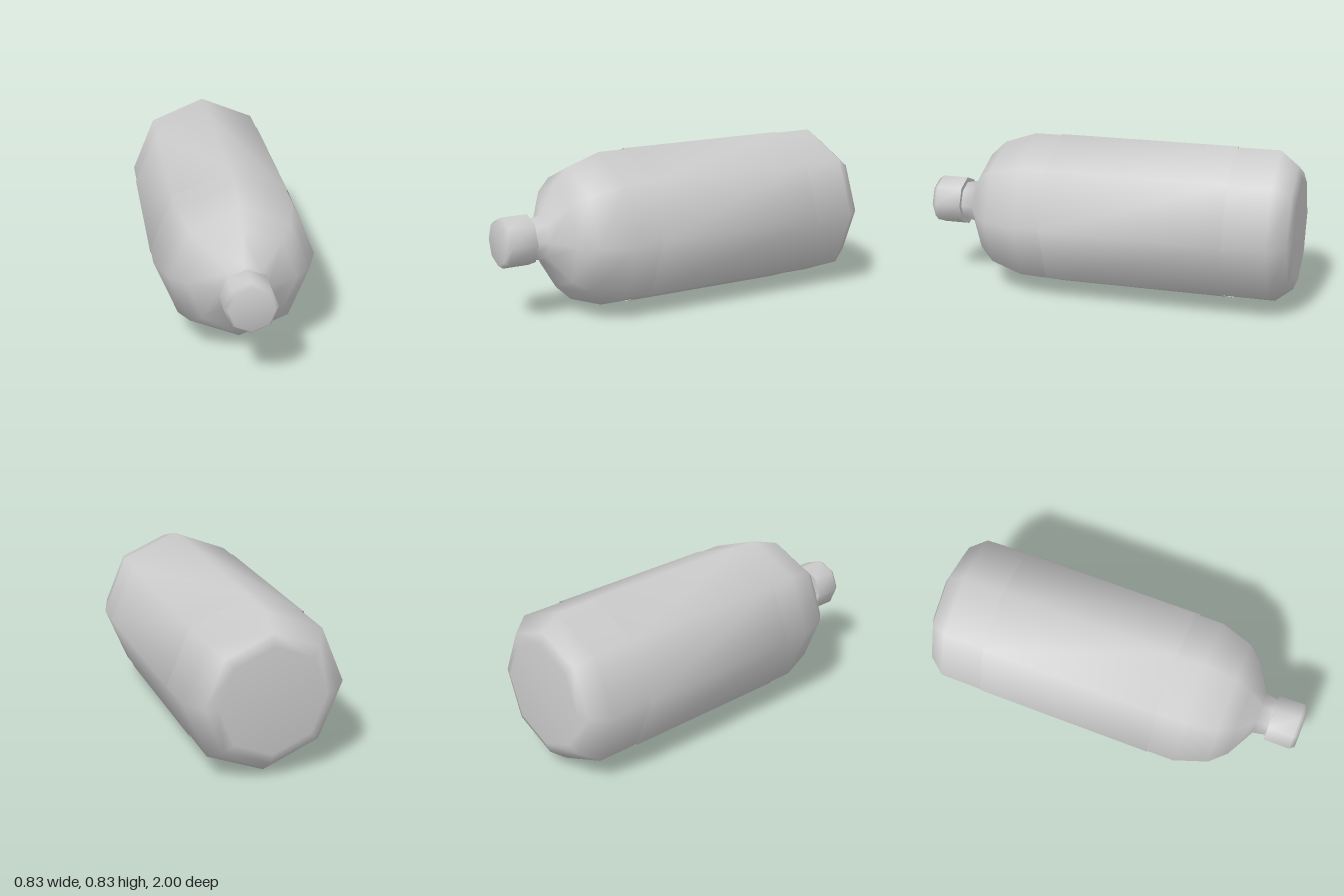
import * as THREE from 'three';
import { mergeVertices } from 'three/addons/utils/BufferGeometryUtils.js';

const SIDES = 8;
const AXIS_Y = 0.416;

// Turn a [radius, z] profile (back to front) around the z axis, with smooth area-weighted normals
function turned(name, profile, side = THREE.FrontSide) {
  const points = profile.map(([r, z]) => new THREE.Vector2(r, z));
  let geo = new THREE.LatheGeometry(points, SIDES);
  geo.deleteAttribute('uv');
  geo.deleteAttribute('normal');
  geo = mergeVertices(geo, 1e-4);
  geo.computeVertexNormals();
  geo.rotateX(Math.PI / 2);
  geo.translate(0, AXIS_Y, 0);
  const mesh = new THREE.Mesh(geo, new THREE.MeshStandardMaterial({ color: 0xcccccc, side }));
  mesh.name = name;
  return mesh;
}

export function createModel() {
  const group = new THREE.Group();
  group.name = 'bottle';

  // Body: flat base, rounded heel, straight wall, domed shoulder and neck
  group.add(turned('body', [
    [0, -1], [0.275, -1], [0.335, -0.977], [0.41, -0.885],
    [0.41, 0.43], [0.35, 0.605], [0.272, 0.687],
    [0.118, 0.768], [0.104, 0.84],
  ], THREE.DoubleSide));

  // Thin open sleeve around the straight wall
  group.add(turned('label', [[0.415, -0.663], [0.415, 0.287]], THREE.DoubleSide));

  // Screw cap with a small bevel, and a separate ring for its sharp rear edge
  group.add(turned('cap', [[0.132, 0.835], [0.132, 0.975], [0.113, 1], [0, 1]]));
  group.add(turned('capUnderside', [[0, 0.835], [0.132, 0.835]]));

  return group;
}
